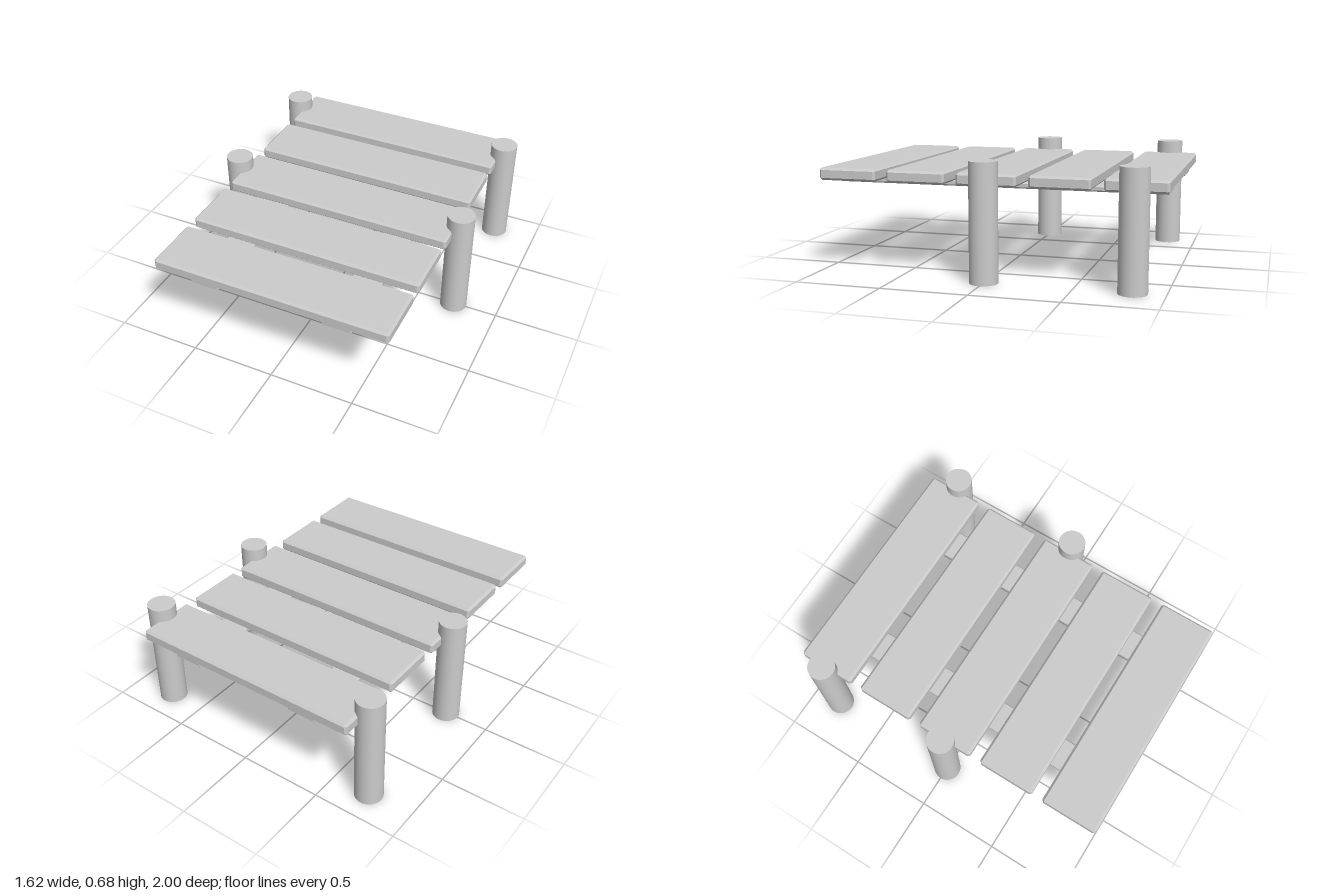
import * as THREE from 'three';
import { ConvexGeometry } from 'three/addons/geometries/ConvexGeometry.js';

const material = new THREE.MeshStandardMaterial({ color: 0xcccccc });

// Box with every edge and corner chamfered by c
function chamferedBox(w, h, d, c) {
  const points = [];
  for (const sx of [-1, 1]) for (const sy of [-1, 1]) for (const sz of [-1, 1]) {
    const x = w / 2, y = h / 2, z = d / 2;
    points.push(
      new THREE.Vector3(sx * x, sy * (y - c), sz * (z - c)),
      new THREE.Vector3(sx * (x - c), sy * y, sz * (z - c)),
      new THREE.Vector3(sx * (x - c), sy * (y - c), sz * z),
    );
  }
  return new ConvexGeometry(points);
}

export function createModel() {
  const model = new THREE.Group();
  model.name = 'dock';

  function add(name, geometry, x, y, z) {
    const mesh = new THREE.Mesh(geometry, material);
    mesh.name = name;
    mesh.position.set(x, y, z);
    model.add(mesh);
  }

  // Five deck planks, front to back
  const plank = chamferedBox(1.405, 0.072, 0.345, 0.013);
  for (let i = 0; i < 5; i++) add('plank', plank, 0, 0.564, 0.8275 - i * 0.41375);

  // Two rails under the planks and two pairs of round posts
  const rail = chamferedBox(0.177, 0.035, 1.955, 0.008);
  const post = new THREE.CylinderGeometry(0.081, 0.081, 0.675, 32);
  for (const side of [-1, 1]) {
    add(side > 0 ? 'leftRail' : 'rightRail', rail, side * 0.398, 0.5115, 0.001);
    for (const z of [0, -0.823]) {
      add(side > 0 ? 'leftPost' : 'rightPost', post, side * 0.729, 0.3375, z);
    }
  }
  return model;
}
